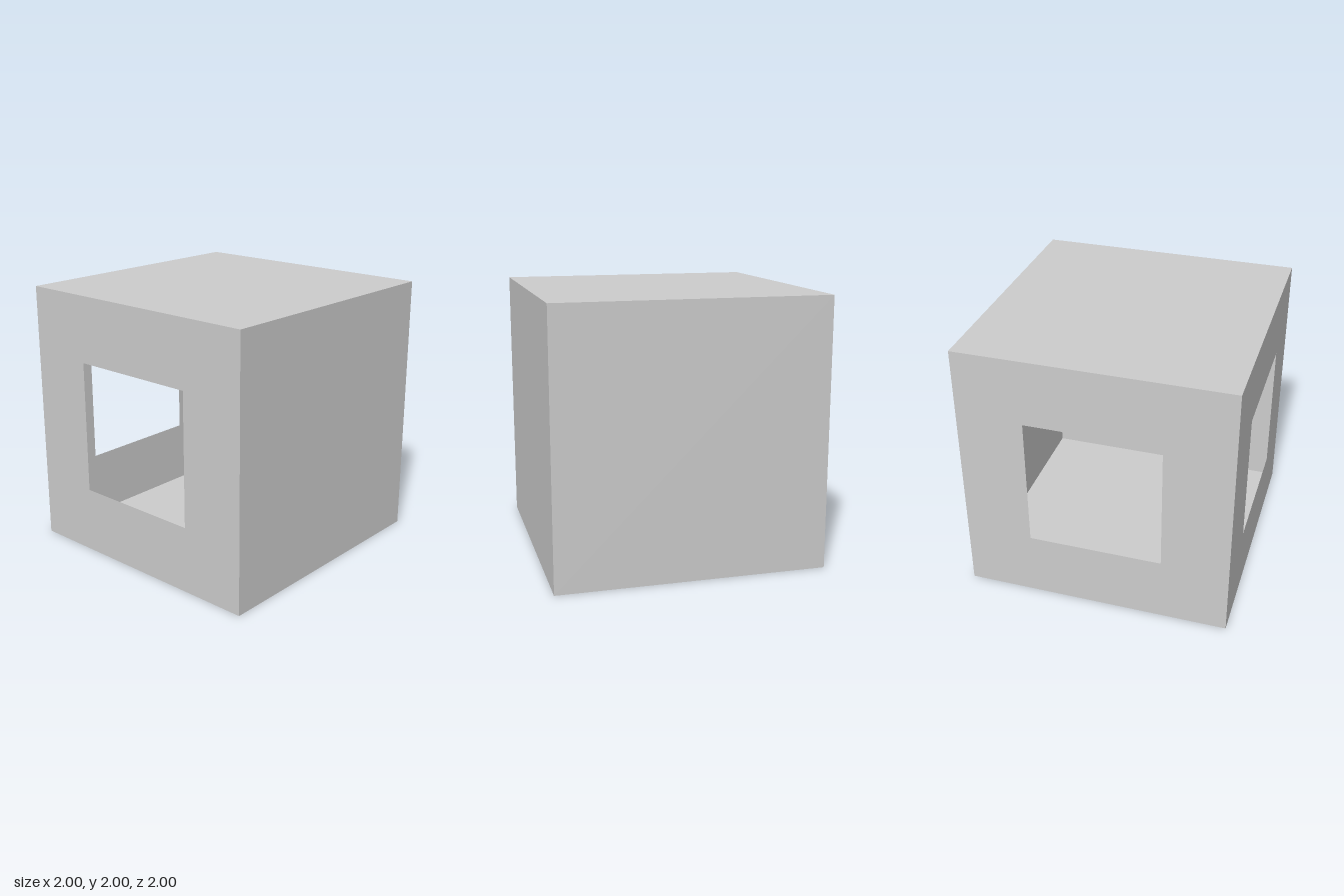
import * as THREE from 'three';

const SIZE = 2;
const WINDOW = 1;

// Square outline centred on the origin
function square(side, Type) {
  const h = side / 2;
  return new Type([
    new THREE.Vector2(-h, -h),
    new THREE.Vector2(h, -h),
    new THREE.Vector2(h, h),
    new THREE.Vector2(-h, h),
  ]);
}

export function createModel() {
  const model = new THREE.Group();
  model.name = 'hollowCube';
  const material = new THREE.MeshStandardMaterial({
    color: 0xcccccc,
    side: THREE.DoubleSide,
  });

  // Thin wall, with an optional square window in its middle
  function addWall(name, rotX, rotY, hasWindow = false) {
    const shape = square(SIZE, THREE.Shape);
    if (hasWindow) shape.holes.push(square(WINDOW, THREE.Path));
    const geometry = new THREE.ShapeGeometry(shape);
    geometry.translate(0, 0, SIZE / 2).rotateX(rotX).rotateY(rotY);
    const wall = new THREE.Mesh(geometry, material);
    wall.name = name;
    wall.position.y = SIZE / 2;
    model.add(wall);
  }

  const quarter = Math.PI / 2;

  // Closed walls
  addWall('frontWall', 0, 0);
  addWall('leftWall', 0, quarter);
  addWall('roof', -quarter, 0);
  addWall('floor', quarter, 0);

  // Walls with a window
  addWall('backWindowWall', 0, Math.PI, true);
  addWall('rightWindowWall', 0, -quarter, true);

  return model;
}
